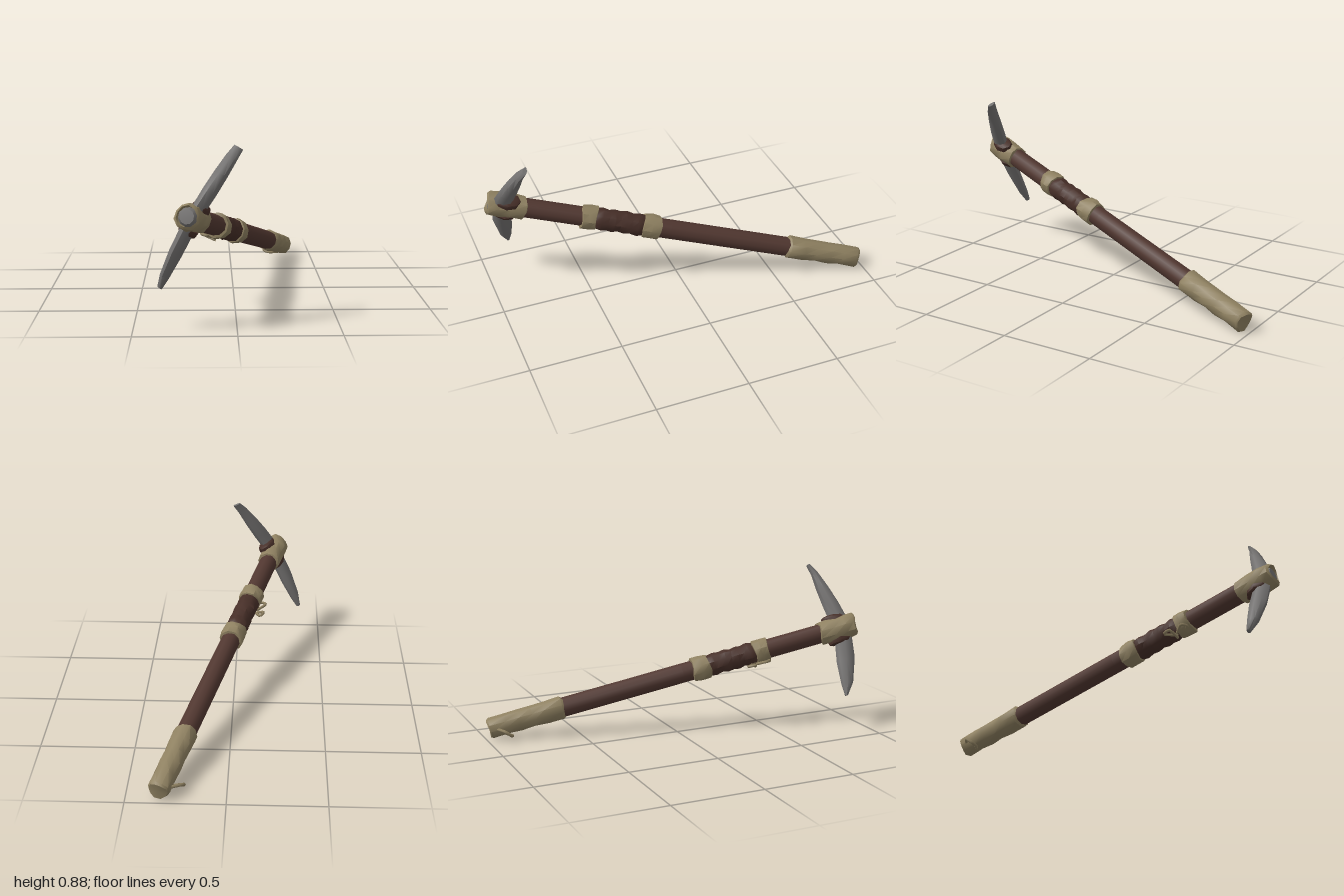
import * as THREE from 'three';
import { toCreasedNormals } from 'three/addons/utils/BufferGeometryUtils.js';

const mat = (name, color, side = THREE.FrontSide) =>
  Object.assign(new THREE.MeshStandardMaterial({ color, side }), { name });

export function createModel() {
  const steel = mat('steel grey', 0x737170);
  const wood = mat('dark wood', 0x513730);
  const leather = mat('brown leather', 0x472f28);
  const cloth = mat('khaki cloth', 0x8f8161, THREE.DoubleSide);

  const model = new THREE.Group();
  model.name = 'pickaxe';

  // Leaning frame: x along the blade, y along the handle from the butt up
  const butt = new THREE.Vector3(0.335, 0.065, -0.975);
  const top = new THREE.Vector3(-0.235, 0.575, 0.97);
  const axis = top.clone().sub(butt);
  const length = axis.length();
  axis.normalize();
  const blade = new THREE.Vector3(0.375, 0.66, -0.04);
  blade.addScaledVector(axis, -blade.dot(axis)).normalize();
  const across = new THREE.Vector3().crossVectors(blade, axis);
  const tool = new THREE.Group();
  tool.name = 'tool';
  tool.quaternion.setFromRotationMatrix(new THREE.Matrix4().makeBasis(blade, axis, across));
  tool.position.copy(butt);
  model.add(tool);

  const add = (parent, name, geometry, material) => {
    const mesh = new THREE.Mesh(geometry, material);
    mesh.name = name;
    parent.add(mesh);
    return mesh;
  };

  // Turned part along the handle; ragged pushes the surface in and out a little
  const turned = (name, points, material, ragged = 0, sides = 10) => {
    const g = new THREE.LatheGeometry(points.map(p => new THREE.Vector2(...p)), sides);
    const p = g.attributes.position;
    for (let i = 0; i < p.count; i++) {
      const x = p.getX(i), y = p.getY(i), z = p.getZ(i);
      const t = Math.atan2(z, x);
      const k = 1 + ragged * Math.sin(3 * t + y * 40);
      const lift = Math.hypot(x, z) > 0.01 ? ragged * 0.15 * Math.sin(2 * t + y * 25) : 0;
      p.setXYZ(i, x * k, y + lift, z * k);
    }
    return add(tool, name, toCreasedNormals(g, 0.75), material);
  };

  // Handle
  turned('handle', [[0, 0.02], [0.05, 0.02], [0.054, 0.4], [0.054, 1.1],
    [0.053, length - 0.06], [0, length - 0.06]], wood);

  // Cloth wrap at the butt
  turned('buttWrap', [[0, 0], [0.05, 0], [0.058, 0.012], [0.057, 0.1], [0.06, 0.17],
    [0.058, 0.25], [0.062, 0.32], [0.064, 0.41], [0.05, 0.425]], cloth, 0.04);

  // Leather grip with soft coils
  const grip = [[0.05, 1.24]];
  for (let i = 0; i <= 8; i++) grip.push([i % 2 ? 0.063 : 0.057, 1.25 + i * 0.033]);
  grip.push([0.05, 1.53]);
  turned('gripWrap', grip, leather, 0.03);

  // Cloth bands at both ends of the grip
  for (const [name, y, h] of [['lowerBand', 1.155, 0.1], ['upperBand', 1.51, 0.085]])
    turned(name, [[0.05, y], [0.066, y + 0.004], [0.069, y + h / 2],
      [0.066, y + h - 0.004], [0.05, y + h]], cloth, 0.04);

  // Head collar with an open end, and the steel eye inside it
  turned('headCollar', [[0.05, 1.895], [0.064, 1.9], [0.066, 1.97], [0.07, 2.04],
    [0.064, 2.095], [0.052, 2.105], [0.048, 2.07]], cloth, 0.05);
  turned('headEye', [[0.052, 2.0], [0.054, 2.07], [0.036, 2.098], [0, 2.1]], steel);

  // Blade: oval sections as [along blade, along handle, half depth, half width]
  const sections = [
    [-0.372, 1.937, 0.009, 0.013], [-0.31, 1.962, 0.034, 0.025], [-0.18, 1.995, 0.053, 0.034],
    [-0.06, 2.02, 0.05, 0.036], [0.06, 2.025, 0.05, 0.036], [0.15, 2.012, 0.046, 0.038],
    [0.25, 1.996, 0.036, 0.036], [0.34, 1.981, 0.022, 0.031], [0.4, 1.961, 0.011, 0.025],
  ];
  const loft = (rings, n = 8) => {
    const pos = [], idx = [];
    for (const [x, y, d, w] of rings)
      for (let j = 0; j < n; j++) {
        const t = (j / n) * Math.PI * 2;
        pos.push(x, y + d * Math.cos(t), 0.01 + w * Math.sin(t));
      }
    for (let i = 0; i < rings.length - 1; i++)
      for (let j = 0; j < n; j++) {
        const a = i * n + j, b = i * n + (j + 1) % n;
        idx.push(a, b, a + n, b, b + n, a + n);
      }
    const end = (rings.length - 1) * n;
    for (let j = 1; j < n - 1; j++) idx.push(0, j + 1, j, end, end + j, end + j + 1);
    const g = new THREE.BufferGeometry();
    g.setAttribute('position', new THREE.Float32BufferAttribute(pos, 3));
    g.setIndex(idx);
    return toCreasedNormals(g, 0.85);
  };
  add(tool, 'blade', loft(sections), steel);

  // Leather lashing round both roots of the blade
  for (const s of [-1, 1]) {
    const rings = [[0.05, 2.0, 0.066, 0.05], [0.066, 2.0, 0.068, 0.048],
      [0.078, 1.995, 0.062, 0.043], [0.084, 1.995, 0.05, 0.03]].map(([x, ...r]) => [s * x, ...r]);
    add(tool, 'bladeLashing', loft(s < 0 ? rings.reverse() : rings), leather);
  }

  // Cloth ties: knot tails at the upper band and a hanging loop at the butt
  const tie = (name, points, radius) => add(model, name, new THREE.TubeGeometry(
    new THREE.CatmullRomCurve3(points.map(p => new THREE.Vector3(...p)), false, 'catmullrom', 0.3),
    16, radius, 5), cloth);
  tie('knotTail', [[-0.1, 0.4, 0.46], [-0.15, 0.4, 0.495], [-0.172, 0.402, 0.465], [-0.12, 0.38, 0.43]], 0.008);
  tie('knotTail', [[-0.1, 0.38, 0.43], [-0.14, 0.375, 0.365], [-0.16, 0.385, 0.4], [-0.1, 0.362, 0.43]], 0.008);
  tie('buttLoop', [[0.3, 0.07, -0.955], [0.222, 0.07, -0.92], [0.213, 0.045, -0.885],
    [0.245, 0.035, -0.872], [0.3, 0.035, -0.89]], 0.009);

  return model;
}
